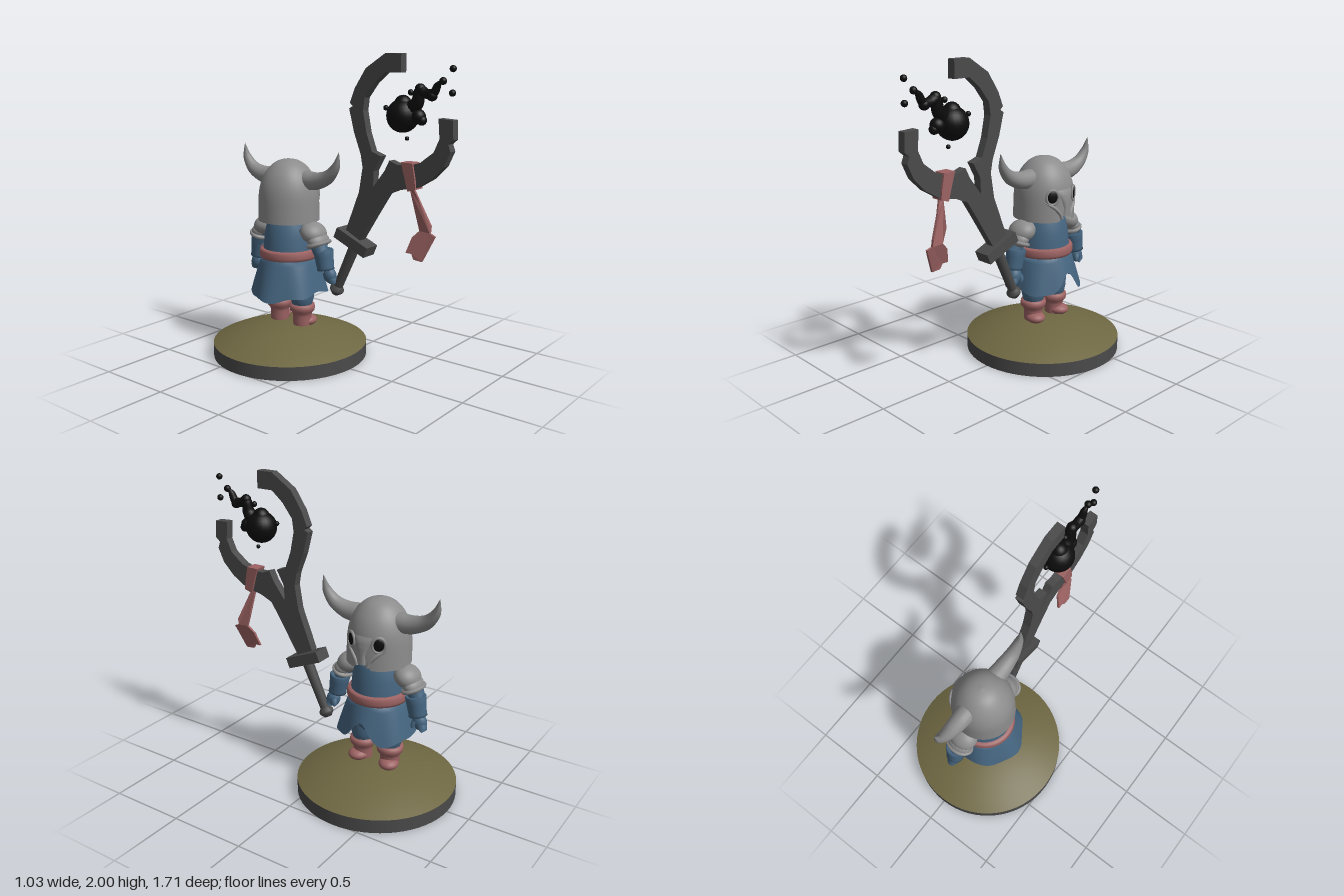
import * as THREE from 'three';

const V = (x, y, z = 0) => new THREE.Vector3(x, y, z);
const mat = (color, side = THREE.FrontSide) => new THREE.MeshStandardMaterial({ color, side });
const steel = mat(0x8c8c8c, THREE.DoubleSide), iron = mat(0x4a4a4a), black = mat(0x0c0c0c);
const cloth = mat(0x456580, THREE.DoubleSide), leather = mat(0x9c6262, THREE.DoubleSide);
const moss = mat(0x6e6742, THREE.DoubleSide);

function mesh(parent, name, geometry, material, pos = [0, 0, 0], scale = [1, 1, 1]) {
  const m = new THREE.Mesh(geometry, material);
  m.name = name;
  m.position.set(...pos);
  m.scale.set(...scale);
  parent.add(m);
  return m;
}

const ball = (parent, name, material, pos, scale) =>
  mesh(parent, name, new THREE.SphereGeometry(1, 24, 16), material, pos, scale);

const lathe = (pts, segs = 48) =>
  new THREE.LatheGeometry(pts.map(p => new THREE.Vector2(...p)), segs);

// Moves every vertex of a geometry by a rule
function reshape(g, rule) {
  const p = g.attributes.position, v = V(0, 0);
  for (let i = 0; i < p.count; i++) {
    v.fromBufferAttribute(p, i);
    rule(v);
    p.setXYZ(i, v.x, v.y, v.z);
  }
  g.computeVertexNormals();
  return g;
}

// Tube along points whose radius follows a list of values
function taper(points, radii, steps = 24, sides = 20) {
  const curve = new THREE.CatmullRomCurve3(points);
  const g = new THREE.TubeGeometry(curve, steps, 1, sides);
  const p = g.attributes.position, v = V(0, 0);
  for (let i = 0; i < p.count; i++) {
    const t = Math.floor(i / (sides + 1)) / steps;
    const k = t * (radii.length - 1), a = Math.min(Math.floor(k), radii.length - 2);
    const r = THREE.MathUtils.lerp(radii[a], radii[a + 1], k - a);
    const c = curve.getPointAt(t);
    v.fromBufferAttribute(p, i).sub(c).multiplyScalar(r).add(c);
    p.setXYZ(i, v.x, v.y, v.z);
  }
  return g;
}

function plate(pts, depth) {
  const shape = new THREE.Shape(pts.map(p => new THREE.Vector2(...p)));
  return new THREE.ExtrudeGeometry(shape, { depth, bevelEnabled: false }).translate(0, 0, -depth / 2);
}

function buildBase(g) {
  const R = 0.515, dome = [];
  for (let i = 0; i <= 14; i++) {
    const t = i / 14;
    dome.push([R * (1 - t), 0.09 + 0.125 * (1 - (1 - t) ** 2)]);
  }
  mesh(g, 'baseMound', lathe(dome, 64), moss);
  mesh(g, 'baseRim', lathe([[R - 0.02, 0.09], [R - 0.02, 0], [R - 0.02, 0], [R, 0], [R, 0], [R, 0.09]], 64),
    mat(0x4a4a4a, THREE.DoubleSide));
}

function buildBody(g) {
  mesh(g, 'tunic', lathe([[0.175, 0.68], [0.17, 0.74], [0.162, 0.82], [0.145, 0.9], [0.12, 0.95], [0, 0.98]]), cloth);
  mesh(g, 'belt', lathe([[0.17, 0.67], [0.19, 0.672], [0.197, 0.69], [0.195, 0.72], [0.188, 0.733], [0.16, 0.735]]), leather);

  // Flared skirt with an arched front opening and a dipping hem
  const rows = [];
  for (let i = 0; i <= 10; i++) rows.push([i / 10, i / 10]);
  const skirt = reshape(lathe(rows, 96), v => {
    const t = v.y, a = Math.atan2(v.x, v.z);
    const hem = 0.435 - 0.02 * Math.cos(2 * a) + 0.15 * Math.exp(-((a / 0.36) ** 2)) + 0.008 * Math.sin(7 * a);
    const y = THREE.MathUtils.lerp(0.69, hem, t);
    const d = (0.69 - y) / 0.26;
    const r = 0.175 + 0.078 * d ** 0.85 + 0.008 * d * Math.cos(6 * a);
    v.set(Math.sin(a) * r, y, Math.cos(a) * r);
  });
  mesh(g, 'skirt', skirt, cloth);
  ball(g, 'trouserSeat', cloth, [0, 0.53, 0], [0.165, 0.12, 0.13]);
}

function buildLeg(g, s) {
  const leg = new THREE.Group();
  leg.name = s < 0 ? 'rightLeg' : 'leftLeg';
  leg.position.set(s * 0.1, 0, 0.01);
  leg.rotation.y = s * 0.35;
  g.add(leg);
  mesh(leg, 'trouserLeg', lathe([[0.055, 0.34], [0.068, 0.36], [0.078, 0.4], [0.082, 0.46], [0.08, 0.56]], 28), cloth);
  mesh(leg, 'boot', lathe([[0.06, 0.215], [0.063, 0.25], [0.062, 0.28], [0.068, 0.3], [0.082, 0.315],
    [0.086, 0.335], [0.082, 0.355], [0.06, 0.36]], 28), leather);
  ball(leg, 'bootToe', leather, [0, 0.238, 0.035], [0.064, 0.038, 0.07]);
}

function buildArm(g, s) {
  const arm = new THREE.Group();
  arm.name = s < 0 ? 'rightArm' : 'leftArm';
  g.add(arm);
  mesh(arm, 'upperArm', taper([V(s * 0.14, 0.87), V(s * 0.22, 0.83), V(s * 0.275, 0.73)], [0.06, 0.06, 0.05]), cloth);
  // Layered shoulder armour
  const upper = ball(arm, 'shoulderPlate', steel, [s * 0.205, 0.855, 0.005], [0.085, 0.068, 0.095]);
  upper.rotation.z = -s * 0.5;
  const lower = ball(arm, 'shoulderLowerPlate', steel, [s * 0.245, 0.81, 0.005], [0.063, 0.055, 0.085]);
  lower.rotation.z = -s * 0.5;
  const trim = mesh(arm, 'shoulderTrim', new THREE.TorusGeometry(0.06, 0.014, 8, 28), steel,
    [s * 0.25, 0.787, 0.005], [1, 1.3, 1]);
  trim.rotation.set(Math.PI / 2, s * 0.35, 0);
  // Flared glove and hand
  const glove = mesh(arm, 'gloveCuff', lathe([[0.04, 0.06], [0.058, 0.07], [0.066, 0.06], [0.062, 0.02],
    [0.056, -0.05], [0.058, -0.065], [0.04, -0.07], [0, -0.07]].reverse(), 28), cloth, [s * 0.283, 0.685, 0.02]);
  glove.rotation.z = s * 0.17;
  const z = s < 0 ? 0.045 : 0.02;
  const hand = ball(arm, 'hand', cloth, [s * 0.308, 0.58, z], [0.046, 0.055, 0.04]);
  hand.rotation.z = s * 0.3;
  mesh(arm, 'fingers', taper([V(s * 0.31, 0.58, z), V(s * 0.328, 0.545, z + 0.005), V(s * 0.33, 0.515, z + 0.015)],
    [0.04, 0.036, 0.03, 0]), cloth);
  mesh(arm, 'thumb', taper([V(s * 0.29, 0.59, z + 0.02), V(s * 0.28, 0.56, z + 0.03), V(s * 0.283, 0.535, z + 0.03)],
    [0.022, 0.02, 0.016, 0], 10, 12), cloth);
}

function buildHelmet(g) {
  const helmet = new THREE.Group();
  helmet.name = 'helmet';
  g.add(helmet);
  const outline = new THREE.SplineCurve([[0.202, 0.92], [0.2, 1], [0.196, 1.09], [0.183, 1.16], [0.155, 1.225],
    [0.11, 1.28], [0.06, 1.31], [0, 1.322]].map(p => new THREE.Vector2(...p)));
  const pts = outline.getPoints(32);
  // Shell with a small notch for the mouth
  const shell = reshape(new THREE.LatheGeometry(pts, 64), v => {
    const a = Math.atan2(v.x, v.z), low = Math.max(0, (1.06 - v.y) / 0.14);
    v.y += low * 0.045 * Math.exp(-((a / 0.22) ** 4));
  });
  mesh(helmet, 'helmetShell', shell, steel);

  // Nose guard wrapped over the shell, wide at the brow and narrow at the nose
  const radiusAt = y => pts.reduce((b, p) => Math.abs(p.y - y) < Math.abs(b.y - y) ? p : b).x;
  const nose = reshape(new THREE.PlaneGeometry(2, 1, 12, 14), v => {
    const t = v.y + 0.5, y = 0.955 + 0.175 * t;
    const x = v.x * (0.022 + 0.085 * Math.max(0, t - 0.3) ** 1.3 + 0.02 * Math.max(0, 0.3 - t));
    v.set(x, y, Math.sqrt(radiusAt(y) ** 2 - x * x) + 0.014 * (1 - 0.8 * v.x ** 4) * (1 - t ** 6));
  });
  mesh(helmet, 'noseGuard', nose, steel);

  for (const s of [-1, 1]) {
    const eye = new THREE.Group();
    eye.name = 'eye';
    eye.position.set(s * 0.096, 1.085, 0.169);
    eye.rotation.y = s * 0.52;
    helmet.add(eye);
    ball(eye, 'eyeHole', black, [0, 0, 0], [0.032, 0.04, 0.01]);
    mesh(eye, 'eyeRim', new THREE.TorusGeometry(0.042, 0.009, 8, 28), steel, [0, 0, 0], [0.95, 1.12, 1]);
    // Cheek ridge running from the eye to the mouth
    mesh(helmet, 'cheekRidge', taper([V(s * 0.135, 1.05, 0.146), V(s * 0.09, 1.02, 0.178), V(s * 0.05, 0.975, 0.194),
      V(s * 0.036, 0.94, 0.198)], [0.004, 0.011, 0.013, 0.01]), steel);
    mesh(helmet, 'horn', taper([V(s * 0.14, 1.19, 0.01), V(s * 0.23, 1.195, 0.01), V(s * 0.32, 1.23, 0.01),
      V(s * 0.38, 1.3, 0.012), V(s * 0.403, 1.39, 0.015)], [0.064, 0.056, 0.044, 0.028, 0.001], 32), steel);
  }
}

function buildStaff(g) {
  const staff = new THREE.Group();
  staff.name = 'forkedStaff';
  staff.position.z = 0.073;
  g.add(staff);
  // Forked head: outer edge of the tall arm, the stem, then the short arm and inner edges
  mesh(staff, 'staffHead', plate([
    [-0.833, 2], [-0.72, 2], [-0.58, 1.91], [-0.5, 1.79], [-0.463, 1.7], [-0.484, 1.68], [-0.458, 1.665],
    [-0.495, 1.525], [-0.548, 1.39], [-0.563, 1.31], [-0.537, 1.155], [-0.437, 0.9], [-0.548, 0.847],
    [-0.675, 1.05], [-0.749, 1.164], [-0.833, 1.2], [-0.95, 1.222], [-1.056, 1.286], [-1.135, 1.365],
    [-1.177, 1.455], [-1.161, 1.497], [-1.193, 1.524], [-1.188, 1.635], [-1.093, 1.64], [-1.103, 1.524],
    [-1.066, 1.444], [-0.976, 1.376], [-0.907, 1.355], [-0.817, 1.35], [-0.76, 1.37], [-0.728, 1.307],
    [-0.643, 1.196], [-0.648, 1.296], [-0.7, 1.39], [-0.632, 1.413], [-0.59, 1.524], [-0.563, 1.656],
    [-0.574, 1.735], [-0.643, 1.825], [-0.722, 1.89], [-0.833, 1.89]], 0.055), iron);
  mesh(staff, 'guard', new THREE.BoxGeometry(0.255, 0.07, 0.112), iron, [-0.49, 0.83, 0]).rotation.z = 0.4;
  const handle = new THREE.Group();
  handle.name = 'handle';
  handle.position.set(-0.418, 0.646, 0);
  handle.rotation.z = 0.433;
  staff.add(handle);
  mesh(handle, 'grip', new THREE.CylinderGeometry(0.036, 0.03, 0.34, 16), iron);
  mesh(handle, 'pommel', lathe([[0, -0.215], [0.025, -0.21], [0.045, -0.185], [0.048, -0.17], [0.03, -0.145]], 16), iron);

  // Ribbon tied round the short arm
  mesh(staff, 'ribbonWrap', plate([[-0.93, 1.37], [-0.85, 1.37], [-0.875, 1.29], [-0.9, 1.2],
    [-0.955, 1.215], [-0.95, 1.27]], 0.08), leather);
  const tail = plate([[-0.934, 1.21], [-0.905, 1.21], [-0.923, 1.048], [-0.95, 0.958], [-0.907, 0.915],
    [-0.881, 0.82], [-0.923, 0.82], [-0.939, 0.788], [-0.997, 0.783], [-1.061, 0.937], [-1.024, 0.952],
    [-1.024, 0.995], [-0.966, 1.127]], 0.016);
  mesh(staff, 'ribbonTail', reshape(tail, v => { v.z += 0.012 + 0.025 * Math.sin(v.y * 14); }), leather);

  // Dark orb with a trailing wisp and loose droplets
  ball(staff, 'orb', black, [-0.833, 1.64, 0], [0.098, 0.1, 0.098]);
  ball(staff, 'orbPeak', black, [-0.833, 1.7, 0], [0.055, 0.062, 0.055]);
  mesh(staff, 'wisp', taper([V(-0.86, 1.66), V(-0.93, 1.72), V(-0.95, 1.79), V(-0.99, 1.775), V(-1.04, 1.78),
    V(-1.07, 1.83), V(-1.115, 1.855)], [0.06, 0.045, 0.035, 0.032, 0.027, 0.022, 0.001], 40, 12), black);
  for (const [x, y, r] of [[-0.94, 1.64, 0.045], [-0.965, 1.62, 0.03], [-0.95, 1.8, 0.032], [-1.03, 1.765, 0.032],
    [-1.1, 1.85, 0.022], [-1.163, 1.92, 0.02], [-1.163, 1.785, 0.02], [-0.886, 1.778, 0.018],
    [-0.712, 1.68, 0.016], [-0.865, 1.508, 0.013]])
    ball(staff, 'droplet', black, [x, y, 0], [r, r, r]);
}

export function createModel() {
  const root = new THREE.Group();
  root.name = 'hornedWarrior';
  // Figure is built facing +z, then turned to face +x
  const figure = new THREE.Group();
  figure.name = 'figure';
  figure.rotation.y = Math.PI / 2;
  figure.position.z = -0.335;
  root.add(figure);
  buildBase(figure);
  buildBody(figure);
  for (const s of [-1, 1]) {
    buildLeg(figure, s);
    buildArm(figure, s);
  }
  buildHelmet(figure);
  buildStaff(figure);
  return root;
}
